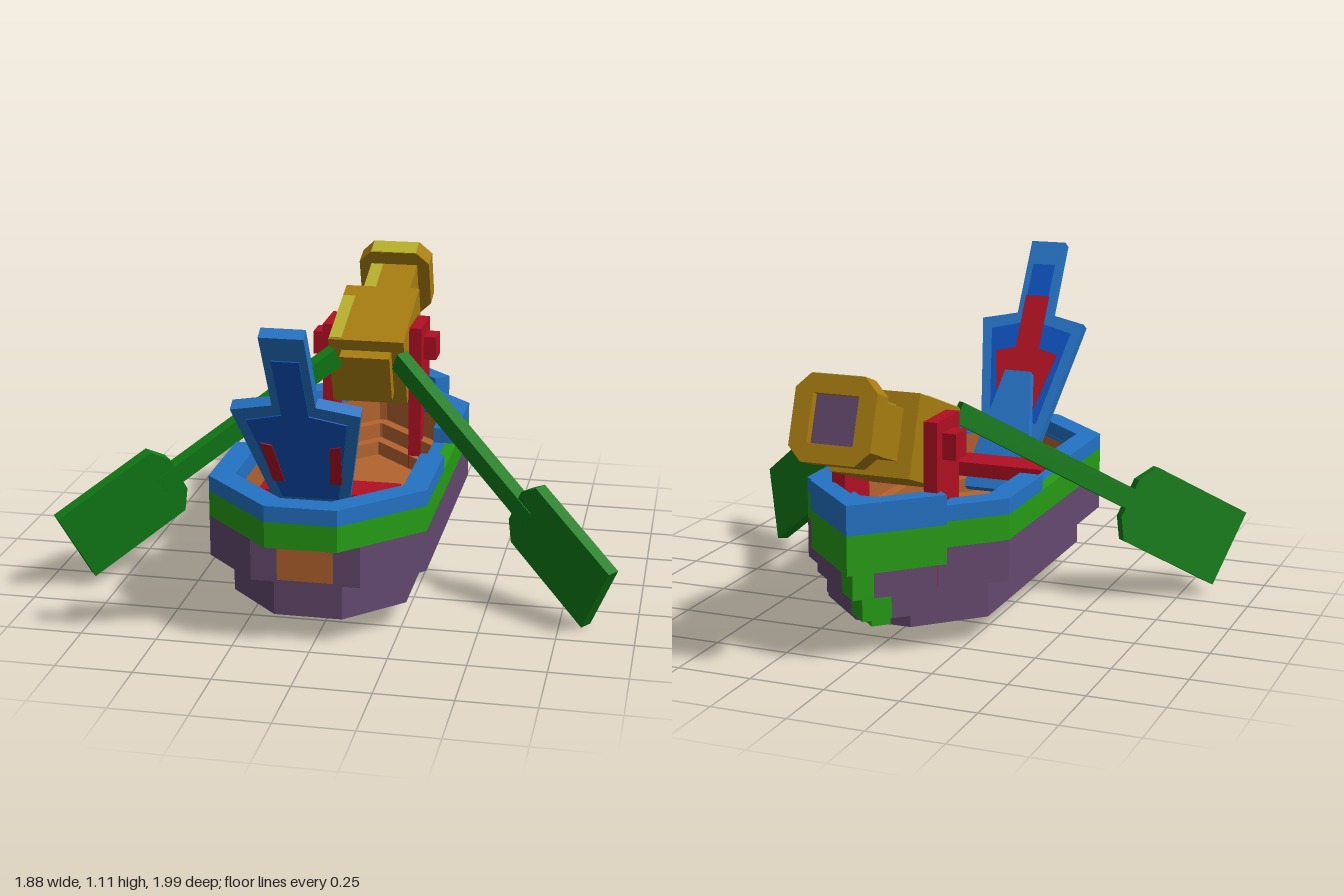
import * as THREE from 'three';

const mat = (name, color, extra = {}) => {
  const m = new THREE.MeshStandardMaterial({ color, ...extra });
  m.name = name;
  return m;
};

export function createModel() {
  const M = {
    blue: mat('blue', 0x2472c4),
    deepBlue: mat('deep blue', 0x0c50bc),
    green: mat('bright green', 0x269c14),
    oar: mat('oar green', 0x107c16),
    purple: mat('purple', 0x64496e),
    wood: mat('orange wood', 0xb4632f),
    red: mat('red', 0xb00f22),
    gold: mat('gold', 0xa87d10),
    yellow: mat('yellow', 0xb6b02c),
  };
  const model = new THREE.Group();
  model.name = 'rowboat';
  const CX = -0.02;
  const boat = new THREE.Group();
  boat.name = 'boat';
  boat.position.x = CX;
  model.add(boat);

  const add = (parent, name, geo, material, x = 0, y = 0, z = 0) => {
    const mesh = new THREE.Mesh(geo, material);
    mesh.name = name;
    mesh.position.set(x, y, z);
    parent.add(mesh);
    return mesh;
  };
  const box = (parent, name, w, h, d, material, x, y, z) =>
    add(parent, name, new THREE.BoxGeometry(w, h, d), material, x, y, z);
  const toShape = (pts) => new THREE.Shape(pts.map(([x, y]) => new THREE.Vector2(x, y)));
  const extrude = (pts, depth, hole) => {
    const shape = toShape(pts);
    if (hole) shape.holes.push(toShape(hole));
    return new THREE.ExtrudeGeometry(shape, { depth, bevelEnabled: false });
  };
  // horizontal slab from a plan of [x, z] points between two heights
  const slab = (name, pts, y0, y1, material, hole) => {
    const g = extrude(pts, y1 - y0, hole).rotateX(Math.PI / 2);
    return add(boat, name, g, material, 0, y1, 0);
  };

  // hull plan: 45 degree corners, given as bow half and stern half
  const plan = (hw, zf, zb, sumF, sumB) => {
    const f = sumF - zf, b = sumB + zb;
    return {
      bow: [[hw, sumF - hw], [f, zf], [-f, zf], [-hw, sumF - hw]],
      stern: [[-hw, hw - sumB], [-b, zb], [b, zb], [hw, hw - sumB]],
      hw,
    };
  };
  const all = (p) => [...p.bow, ...p.stern];
  const inset = (d) => plan(0.355 - d, 0.77 - d, -0.735 + 1.2 * d, 0.885 - 1.41 * d, 0.765 - 1.41 * d);

  // hull layers
  slab('lowerHull', all(plan(0.285, 0.67, -0.6, 0.78, 0.695)), 0.085, 0.22, M.purple);
  slab('middleHull', all(plan(0.355, 0.71, -0.735, 0.885, 0.765)), 0.214, 0.35, M.purple, all(inset(0.07)));
  slab('upperHull', all(inset(0)), 0.35, 0.435, M.green, all(inset(0.04)));
  slab('rimLiner', all(inset(0.039)), 0.425, 0.434, M.blue, all(inset(0.08)));

  // blue rim, open at the oar notches
  const outer = inset(0), inner = inset(0.08);
  for (const [name, half, cut] of [['bowRim', 'bow', 0.18], ['sternRim', 'stern', -0.095]]) {
    const s = half === 'bow' ? 1 : -1;
    const strip = (p) => [[s * p.hw, cut], ...p[half], [-s * p.hw, cut]];
    slab(name, [...strip(outer), ...strip(inner).reverse()], 0.435, 0.487, M.blue);
  }

  // stepped interior
  slab('innerWall', all(inset(0.06)), 0.22, 0.425, M.wood, all(inset(0.08)));
  slab('upperStep', all(inset(0.079)), 0.22, 0.33, M.wood, all(inset(0.12)));
  slab('lowerStep', all(inset(0.119)), 0.22, 0.275, M.wood, all(inset(0.16)));
  slab('floor', all(inset(0.07)), 0.215, 0.225, M.wood);
  box(boat, 'bench', 0.45, 0.05, 0.14, M.red, 0, 0.38, 0.33);

  // stern chevrons: wing arms between |x| = a and |x| = b, tip at z = -s
  const chevron = (name, s, y0, y1, material, tipMaterial) => {
    const t = 0.06, a = 0.07, b = 0.235, o = 0.02;
    for (const k of [-1, 1]) {
      slab(name + 'Wing', [[k * a + o, a - s], [k * b + o, b - s], [k * (b - 0.045) + o, b - s + 0.045],
        [k * (a - t / 2) + o, a - s + t]], y0, y1, material);
    }
    slab(name + 'Tip', [[a + o, a - s], [o, -s], [-a + o, a - s], [-a + t / 2 + o, a - s + t],
      [a - t / 2 + o, a - s + t]], y0, y1, tipMaterial);
  };
  chevron('sternRail', 0.825, 0.433, 0.53, M.blue, M.blue);
  chevron('sternBand', 0.825, 0.305, 0.433, M.green, M.green);
  chevron('sternUpperStep', 0.785, 0.214, 0.305, M.purple, M.green);
  chevron('sternMiddleStep', 0.715, 0.123, 0.214, M.purple, M.green);
  chevron('sternLowerStep', 0.645, 0.086, 0.123, M.purple, M.green);

  // raked bow crest
  const crest = new THREE.Group();
  crest.name = 'bowCrest';
  crest.position.set(0, 0.48, 0.6);
  crest.rotation.x = 0.553;
  boat.add(crest);
  const mirrorPts = (right) => [...right, ...right.slice().reverse().map(([x, y]) => [-x, y])];
  const plate = (name, right, depth, material, z) =>
    add(crest, name, extrude(mirrorPts(right), depth), material, 0, 0, z - depth / 2);
  plate('crestPanel', [[0.11, -0.08], [0.2, 0.4], [0.067, 0.43], [0.067, 0.725]], 0.04, M.blue, 0);
  for (const z of [-0.021, 0.021]) {
    plate('crestInlay', [[0.09, 0], [0.155, 0.36], [0.042, 0.39], [0.042, 0.63]], 0.006, M.deepBlue, z);
  }
  plate('crestArrow', [[0.065, 0.03], [0.12, 0.27], [0.045, 0.29], [0.045, 0.5]], 0.006, M.red, -0.025);
  for (const k of [-1, 1]) {
    const pts = [[0.072, 0.08], [0.11, 0.08], [0.125, 0.26], [0.09, 0.25]].map(([x, y]) => [k * x, y]);
    add(crest, 'crestMark', extrude(pts, 0.005), M.red, 0, 0, 0.022);
  }
  plate('crestBrace', [[0.115, -0.28], [0.115, -0.2], [0.05, 0.18]], 0.04, M.blue, -0.055);

  // cannon mounts
  for (const k of [-1, 1]) {
    box(boat, 'cannonMount', 0.045, 0.53, 0.185, M.red, k * 0.158, 0.49, -0.493);
    box(boat, 'mountKnob', 0.045, 0.085, 0.09, M.red, k * 0.203, 0.67, -0.495);
  }

  // cannon, muzzle towards local -z
  const cannon = new THREE.Group();
  cannon.name = 'cannon';
  cannon.position.set(0, 0.666, -0.49);
  cannon.rotation.x = 0.34;
  boat.add(cannon);
  box(cannon, 'cannonBody', 0.271, 0.267, 0.35, M.gold, 0, 0, 0);
  box(cannon, 'cannonBreech', 0.18, 0.18, 0.05, M.gold, 0, 0, 0.195);
  box(cannon, 'cannonBarrel', 0.175, 0.165, 0.26, M.gold, 0, 0, -0.29);
  const h = 0.133, c = 0.088;
  const ring = [[h, -c], [h, c], [c, h], [-c, h], [-h, c], [-h, -c], [-c, -h], [c, -h]];
  const bore = [[0.075, -0.075], [0.075, 0.075], [-0.075, 0.075], [-0.075, -0.075]];
  add(cannon, 'muzzle', extrude(ring, 0.08, bore), M.gold, 0, 0, -0.489);
  box(cannon, 'bore', 0.15, 0.15, 0.02, M.purple, 0, 0, -0.45);
  box(cannon, 'bodyShine', 0.045, 0.006, 0.27, M.yellow, -0.112, 0.133, 0.03);
  box(cannon, 'barrelShine', 0.045, 0.006, 0.17, M.yellow, -0.064, 0.082, -0.32);
  box(cannon, 'muzzleShine', 0.17, 0.006, 0.078, M.yellow, 0, 0.132, -0.449);

  // oars, laid along a line with the blade turned to a given width direction
  const makeOar = (name, p0, p1, w) => {
    const a = new THREE.Vector3(...p0), b = new THREE.Vector3(...p1);
    const len = a.distanceTo(b);
    const dir = b.clone().sub(a).normalize();
    const wide = new THREE.Vector3(...w);
    wide.addScaledVector(dir, -wide.dot(dir)).normalize();
    const thin = new THREE.Vector3().crossVectors(dir, wide);
    const oar = new THREE.Group();
    oar.name = name;
    oar.quaternion.setFromRotationMatrix(new THREE.Matrix4().makeBasis(dir, wide, thin));
    oar.position.copy(a);
    model.add(oar);
    box(oar, 'oarShaft', len * 0.68, 0.072, 0.045, M.oar, len * 0.34, 0, 0);
    const blade = [[0.62, -0.07], [0.66, -0.138], [1, -0.138], [1, 0.138], [0.66, 0.138], [0.62, 0.07]];
    add(oar, 'oarBlade', extrude(blade.map(([x, y]) => [x * len, y]), 0.04), M.oar, 0, 0, -0.02);
  };
  makeOar('leftOar', [0.12, 0.7, -0.18], [0.88, 0.12, 0.435], [0.095, 0.23, 0.118]);
  makeOar('rightOar', [-0.11, 0.7, -0.195], [-0.885, 0.155, 0.4], [-0.095, 0.23, 0.118]);

  return model;
}
